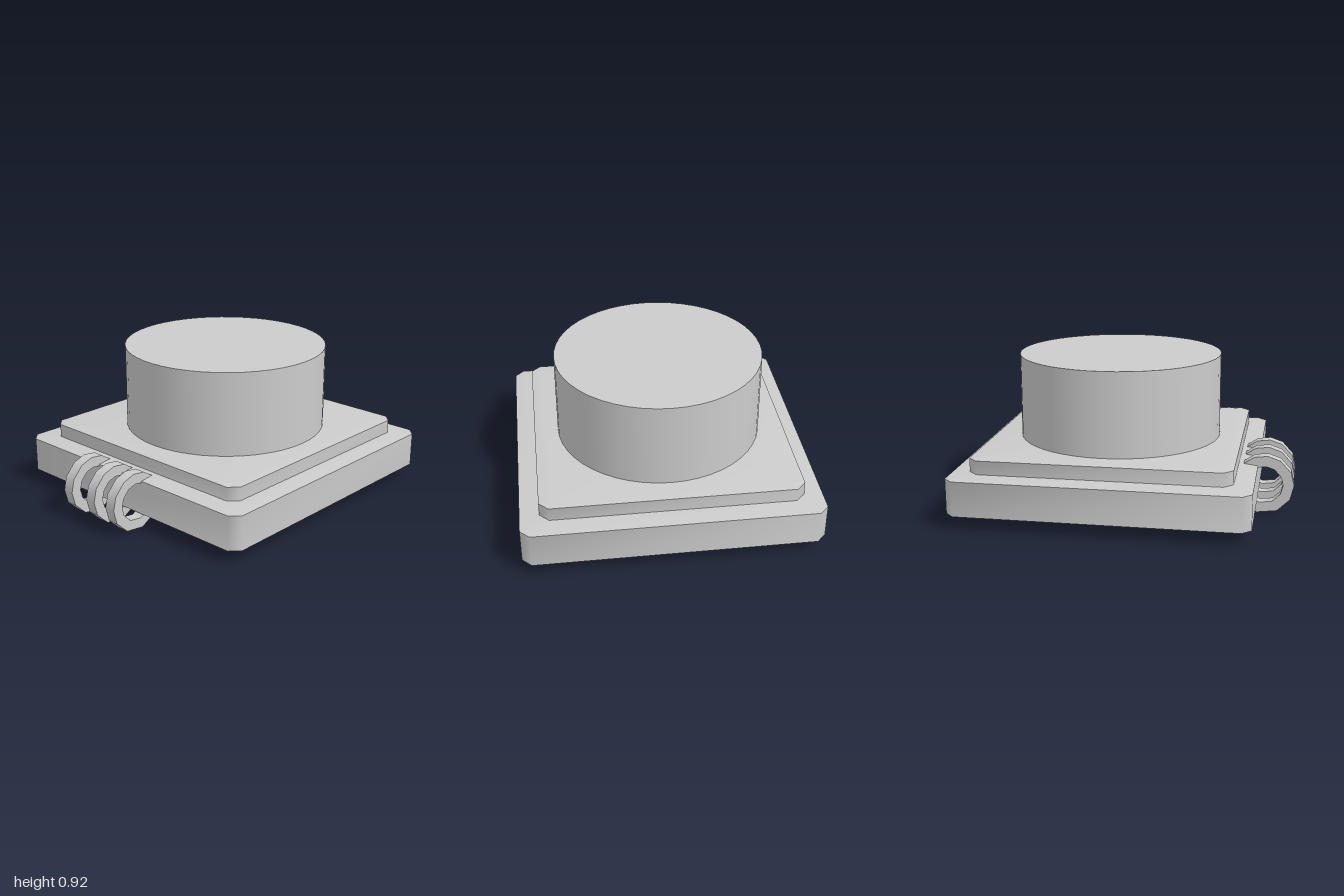
import * as THREE from 'three';
import { toCreasedNormals } from 'three/addons/utils/BufferGeometryUtils.js';

const material = new THREE.MeshStandardMaterial({ color: 0xcccccc });
const CENTER_Z = -0.11;

// Square outline with cut corners, counter-clockwise seen from above
function outline(half, cut, y) {
  const a = half, b = half - cut;
  return [[a, b], [a, -b], [b, -a], [-b, -a], [-a, -b], [-a, b], [-b, a], [b, a]]
    .map(([x, z]) => new THREE.Vector3(x, y, z));
}

// Plate skinned through outlines given as [half width, corner cut, height], bottom to top
function plate(levels) {
  const rings = levels.map(([h, c, y]) => outline(h, c, y));
  const pos = [];
  const tri = (...pts) => pts.forEach((p) => pos.push(p.x, p.y, p.z));
  for (let k = 0; k < rings.length - 1; k++) {
    const lo = rings[k], hi = rings[k + 1];
    for (let i = 0; i < 8; i++) {
      const j = (i + 1) % 8;
      tri(lo[i], lo[j], hi[j]);
      tri(lo[i], hi[j], hi[i]);
    }
  }
  const bottom = rings[0], top = rings[rings.length - 1];
  for (let i = 1; i < 7; i++) {
    tri(bottom[0], bottom[i + 1], bottom[i]);
    tri(top[0], top[i], top[i + 1]);
  }
  const g = new THREE.BufferGeometry();
  g.setAttribute('position', new THREE.Float32BufferAttribute(pos, 3));
  return toCreasedNormals(g, 0.8);
}

// Flat hinge ring with slightly uneven facets, standing in the YZ plane
function hingeRing(outer, inner, width) {
  const degrees = [0, 27, 58, 84, 110, 136, 162, 190, 222, 257, 297, 331];
  const loop = (r) => degrees.map((d) => {
    const a = THREE.MathUtils.degToRad(d);
    return new THREE.Vector2(Math.cos(a) * r, Math.sin(a) * r);
  });
  const shape = new THREE.Shape(loop(outer));
  shape.holes.push(new THREE.Path(loop(inner)));
  const g = new THREE.ExtrudeGeometry(shape, { depth: width, bevelEnabled: false });
  g.translate(0, 0, -width / 2);
  g.rotateY(-Math.PI / 2);
  return toCreasedNormals(g, 0.8);
}

export function createModel() {
  const model = new THREE.Group();
  const add = (name, geometry, x, y, z) => {
    const mesh = new THREE.Mesh(geometry, material);
    mesh.name = name;
    mesh.position.set(x, y, z);
    model.add(mesh);
  };

  // Stepped square body
  add('basePlate', plate([
    [0.84, 0.03, 0.08], [0.89, 0.055, 0.086], [0.89, 0.055, 0.298], [0.78, 0.055, 0.312],
  ]), 0, 0, CENTER_Z);
  add('upperPlate', plate([
    [0.775, 0.055, 0.3], [0.775, 0.055, 0.395], [0.73, 0.04, 0.402],
  ]), 0, 0, CENTER_Z);

  // Round drum on top
  add('drum', new THREE.CylinderGeometry(0.63, 0.63, 0.53, 48), 0, 0.655, CENTER_Z);

  // Three hinge rings at the front edge
  const ring = hingeRing(0.181, 0.115, 0.07);
  [-0.25, -0.05, 0.12].forEach((x, i) => add(`hingeRing${i + 1}`, ring, x, 0.18, 0.819));

  return model;
}
